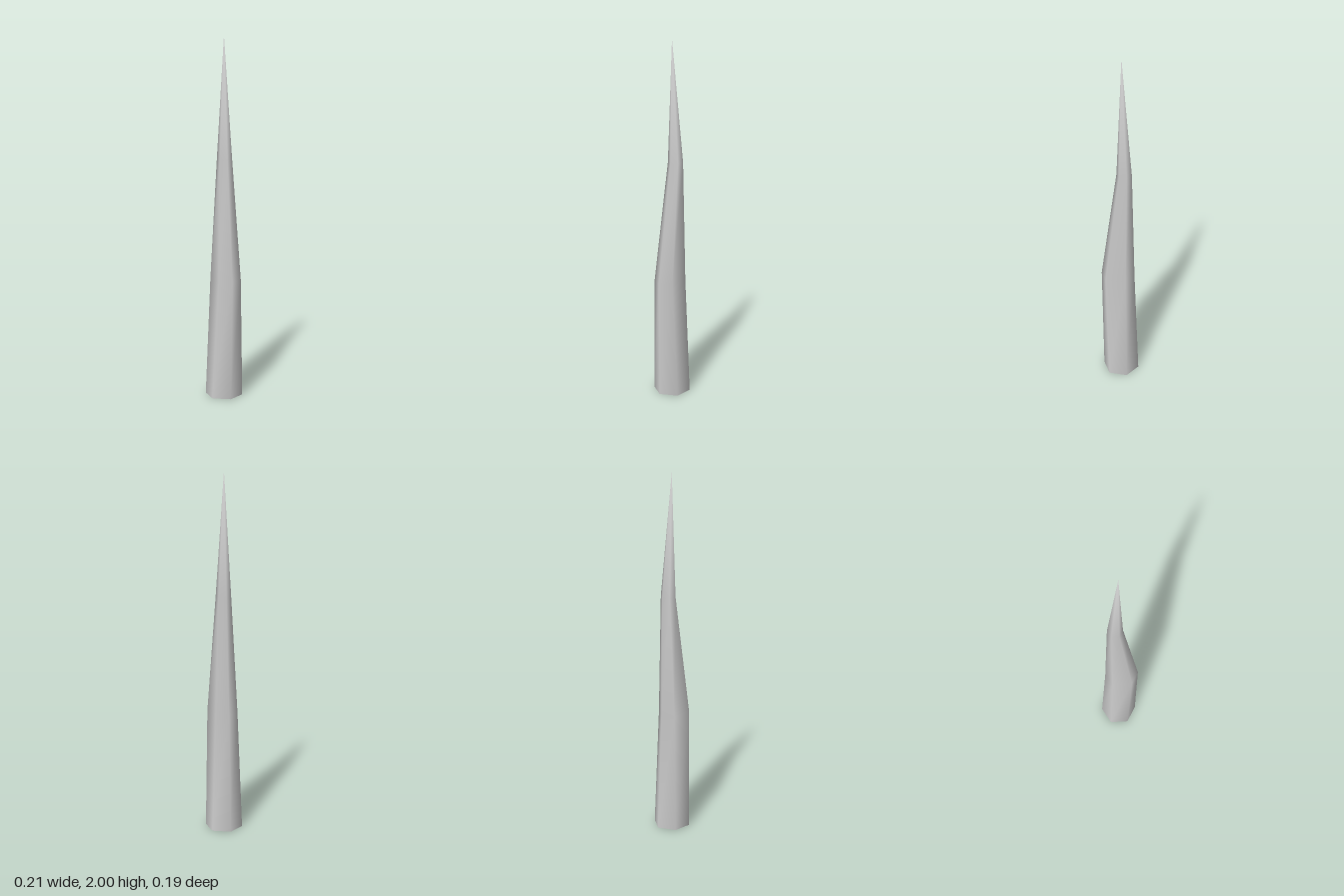
import * as THREE from 'three';

const SIDES = 6;
const CENTRE_Z = -0.003;

// Hexagonal cross-sections from the base up; bulge pushes the three front-left corners out
const SECTIONS = [
  { y: 0, r: 0.104, z: CENTRE_Z, bulge: [0, 0] },
  { y: 0.67, r: 0.076, z: CENTRE_Z, bulge: [0.022, 0.03] },
  { y: 1.335, r: 0.042, z: -0.023, bulge: [0, 0] },
];

function spikeGeometry() {
  const positions = [];
  const index = [];
  for (const { y, r, z, bulge } of SECTIONS) {
    for (let k = 0; k < SIDES; k++) {
      const a = (k / SIDES) * Math.PI * 2;
      const push = k < 3 ? 1 : 0;
      positions.push(r * Math.cos(a) + push * bulge[0], y, z + r * Math.sin(a) + push * bulge[1]);
    }
  }
  const apex = positions.length / 3;
  positions.push(0, 2, CENTRE_Z);

  // Walls between sections, then the pointed tip
  for (let s = 0; s < SECTIONS.length; s++) {
    for (let k = 0; k < SIDES; k++) {
      const a = s * SIDES + k;
      const b = s * SIDES + ((k + 1) % SIDES);
      if (s === SECTIONS.length - 1) index.push(b, a, apex);
      else index.push(b, a, a + SIDES, b, a + SIDES, b + SIDES);
    }
  }
  const geometry = new THREE.BufferGeometry();
  geometry.setAttribute('position', new THREE.Float32BufferAttribute(positions, 3));
  geometry.setIndex(index);
  geometry.computeVertexNormals();
  return geometry;
}

export function createModel() {
  const group = new THREE.Group();
  group.name = 'spike';
  const material = new THREE.MeshStandardMaterial({ color: 0xcccccc });

  // Smooth tapering shaft
  const shaft = new THREE.Mesh(spikeGeometry(), material);
  shaft.name = 'shaft';

  // Flat underside, kept separate for a crisp edge
  const base = new THREE.Mesh(new THREE.CircleGeometry(SECTIONS[0].r, SIDES), material);
  base.name = 'base';
  base.rotation.x = Math.PI / 2;
  base.position.z = CENTRE_Z;

  group.add(shaft, base);
  return group;
}
